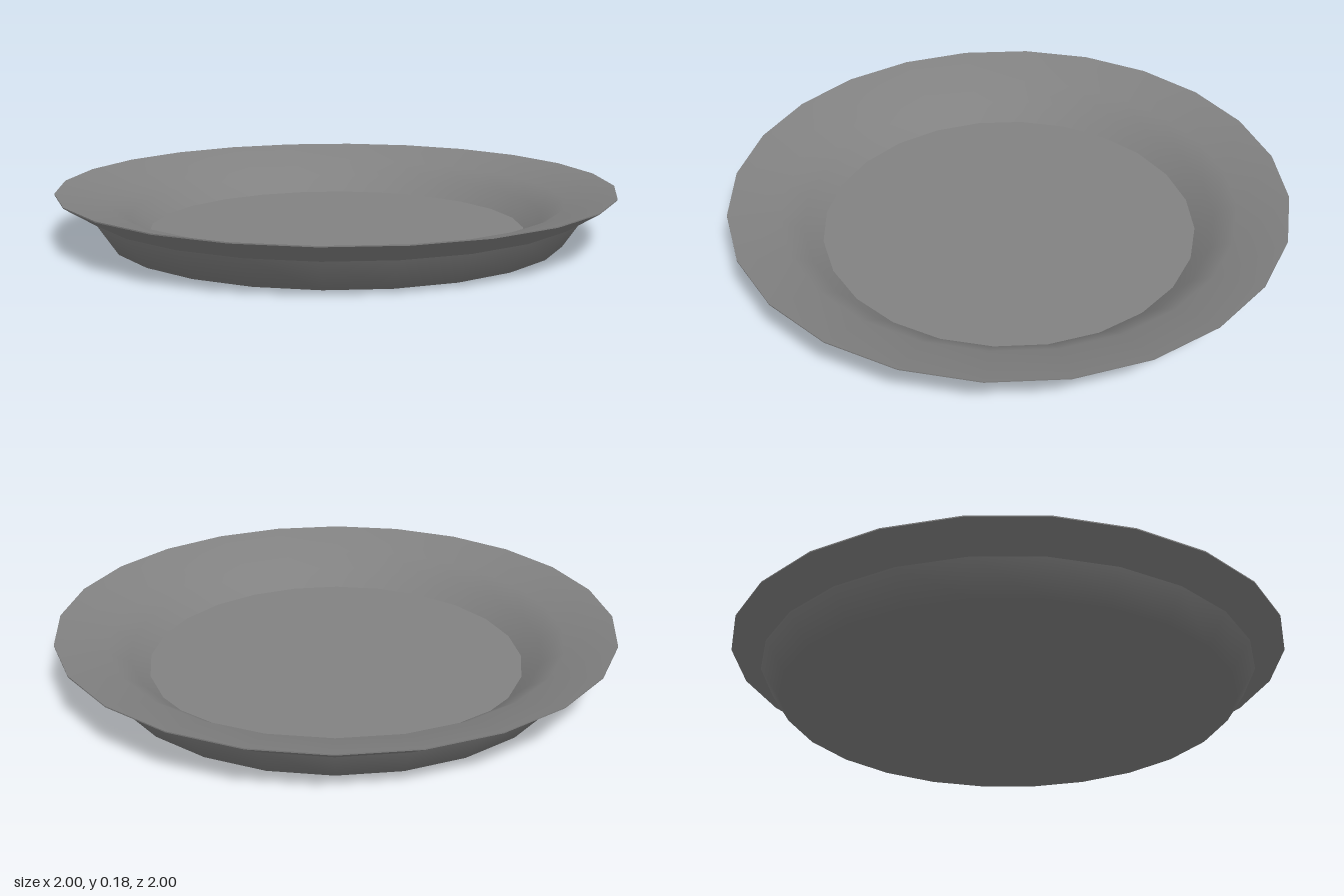
import * as THREE from 'three';
import { mergeVertices } from 'three/addons/utils/BufferGeometryUtils.js';

const SIDES = 24;
const material = new THREE.MeshStandardMaterial({ color: 0x818181 });

// Revolves [radius, height] points; a rising profile faces outwards.
function ring(name, profile) {
  const points = profile.map(([r, y]) => new THREE.Vector2(r, y));
  const mesh = new THREE.Mesh(new THREE.LatheGeometry(points, SIDES), material);
  mesh.name = name;
  return mesh;
}

// Welds a ring and weights its normals by face area, so large flat faces stay flat.
function weighted(mesh) {
  mesh.geometry.deleteAttribute('uv');
  mesh.geometry.deleteAttribute('normal');
  mesh.geometry = mergeVertices(mesh.geometry);
  mesh.geometry.computeVertexNormals();
  return mesh;
}

export function createModel() {
  const plate = new THREE.Group();
  plate.name = 'plate';

  // Flat floor inside the well
  const floor = new THREE.Mesh(new THREE.CircleGeometry(0.68, SIDES), material);
  floor.name = 'floor';
  floor.rotation.x = -Math.PI / 2;
  floor.position.y = 0.02;

  plate.add(
    // Underside: base rounding softly into the wall, then the flared lip
    weighted(ring('base', [[0, 0], [0.82, 0], [0.89, 0.105]])),
    ring('lip', [[0.89, 0.105], [1, 0.174]]),
    // Thin outer edge
    ring('rimEdge', [[1, 0.174], [1, 0.178]]),
    // Upper side: shallow rim curving down into the well
    ring('innerWall', [[1, 0.178], [0.82, 0.13], [0.745, 0.08], [0.68, 0.02]]),
    floor,
  );
  return plate;
}
